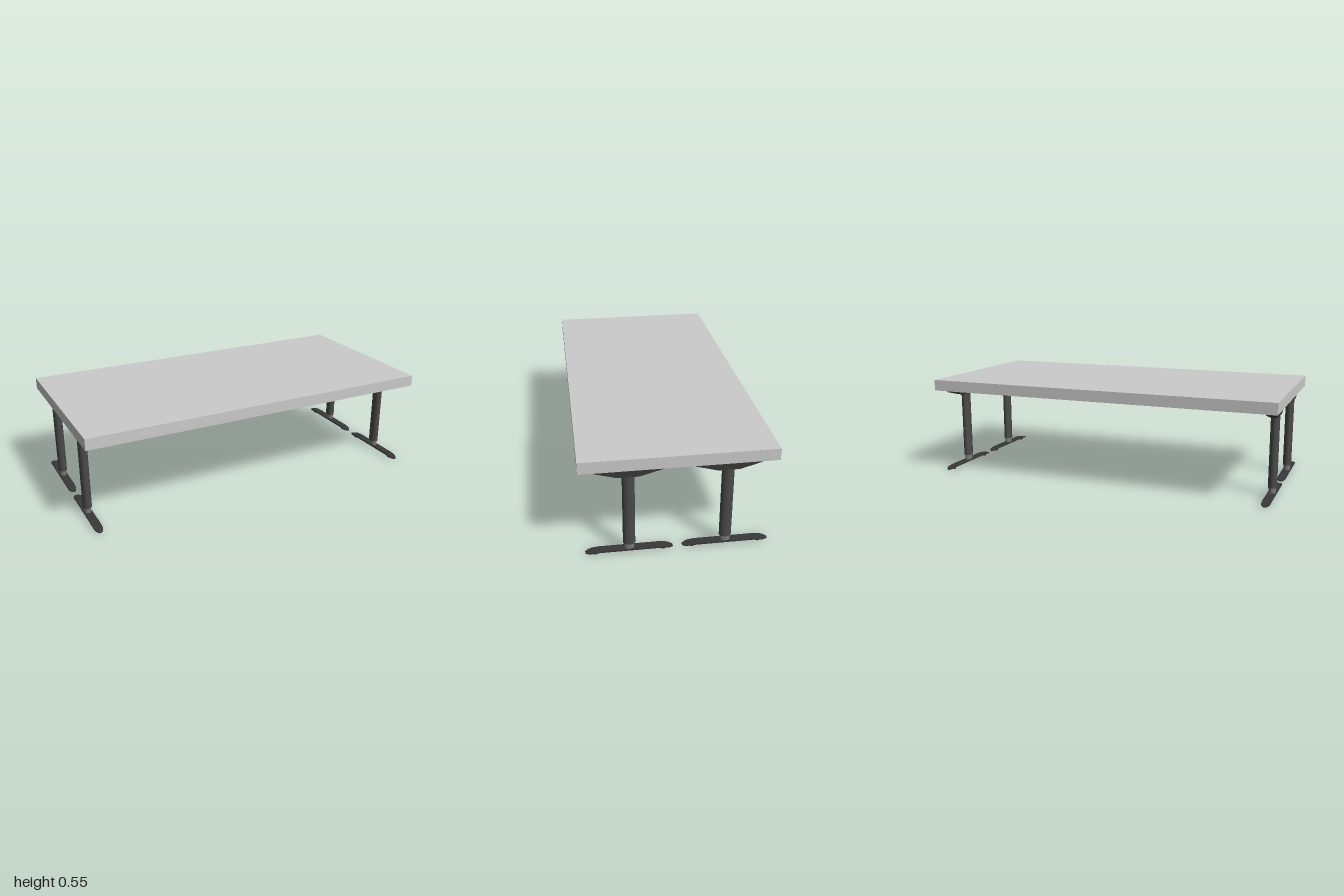
import * as THREE from 'three';

const mat = (color) => new THREE.MeshStandardMaterial({ color });
const topMat = mat(0xcccccc), columnMat = mat(0x4a4a4a), innerMat = mat(0x7a7a7a), darkMat = mat(0x383838);

function add(group, name, geometry, material, y = 0, z = 0) {
  const mesh = new THREE.Mesh(geometry, material);
  mesh.name = name;
  mesh.position.set(0, y, z);
  group.add(mesh);
  return mesh;
}

// Upright tube with an oval section
function ovalTube(rx, rz, y0, y1) {
  return new THREE.CylinderGeometry(1, 1, y1 - y0, 32).scale(rx, 1, rz).translate(0, (y0 + y1) / 2, 0);
}

// Move every vertex by a rule
function reshape(geometry, rule) {
  const p = geometry.attributes.position, v = new THREE.Vector3();
  for (let i = 0; i < p.count; i++) {
    rule(v.fromBufferAttribute(p, i));
    p.setXYZ(i, v.x, v.y, v.z);
  }
  geometry.computeVertexNormals();
  return geometry;
}

// Bracket: rounded plate whose underside tapers towards the column
function bracketGeometry() {
  const w = 0.023, l = 0.17, r = 0.016;
  const s = new THREE.Shape();
  s.moveTo(-w + r, -l);
  s.lineTo(w - r, -l);
  s.quadraticCurveTo(w, -l, w, -l + r);
  s.lineTo(w, l - r);
  s.quadraticCurveTo(w, l, w - r, l);
  s.lineTo(-w + r, l);
  s.quadraticCurveTo(-w, l, -w, l - r);
  s.lineTo(-w, -l + r);
  s.quadraticCurveTo(-w, -l, -w + r, -l);
  const g = new THREE.ExtrudeGeometry(s, { depth: 0.05, steps: 2, bevelEnabled: false, curveSegments: 6 });
  g.rotateX(-Math.PI / 2);
  return reshape(g, (v) => {
    if (v.y < 0.01) v.z *= 0.34;
    else if (v.y < 0.04) v.y = 0.03;
  });
}

// Foot: flat bar with rounded tips that bend down and thin out
function footGeometry() {
  const half = 0.22, r = 0.04;
  return reshape(new THREE.BoxGeometry(0.046, 0.008, half * 2, 2, 1, 48), (v) => {
    const a = Math.abs(v.z);
    const tip = Math.max(0, (a - (half - r)) / r);
    const bend = Math.max(0, (a - 0.15) / 0.07);
    v.x *= Math.max(0.3, Math.sqrt(1 - Math.min(1, tip * tip)));
    v.y *= 1 - 0.35 * bend;
    v.y -= 0.009 * Math.pow(bend, 1.5);
  });
}

export function createModel() {
  const table = new THREE.Group();
  table.name = 'table';
  add(table, 'tableTop', new THREE.BoxGeometry(2, 0.062, 0.972), topMat, 0.521);

  const bracket = bracketGeometry(), foot = footGeometry();
  const outer = ovalTube(0.024, 0.031, 0.05, 0.445);
  const inner = ovalTube(0.019, 0.026, 0.018, 0.06);
  const glide = new THREE.CylinderGeometry(0.014, 0.014, 0.015, 20);

  // Four legs, one near each corner
  for (const x of [-0.95, 0.95]) {
    for (const z of [-0.244, 0.244]) {
      const leg = new THREE.Group();
      leg.name = (x > 0 ? 'left' : 'right') + (z > 0 ? 'Front' : 'Back') + 'Leg';
      leg.position.set(x, 0, z);
      add(leg, 'bracket', bracket, darkMat, 0.44);
      add(leg, 'outerColumn', outer, columnMat);
      add(leg, 'innerColumn', inner, innerMat);
      add(leg, 'foot', foot, darkMat, 0.017);
      for (const s of [-1, 1]) add(leg, 'glide', glide, darkMat, 0.0075, s * 0.171);
      table.add(leg);
    }
  }
  return table;
}
